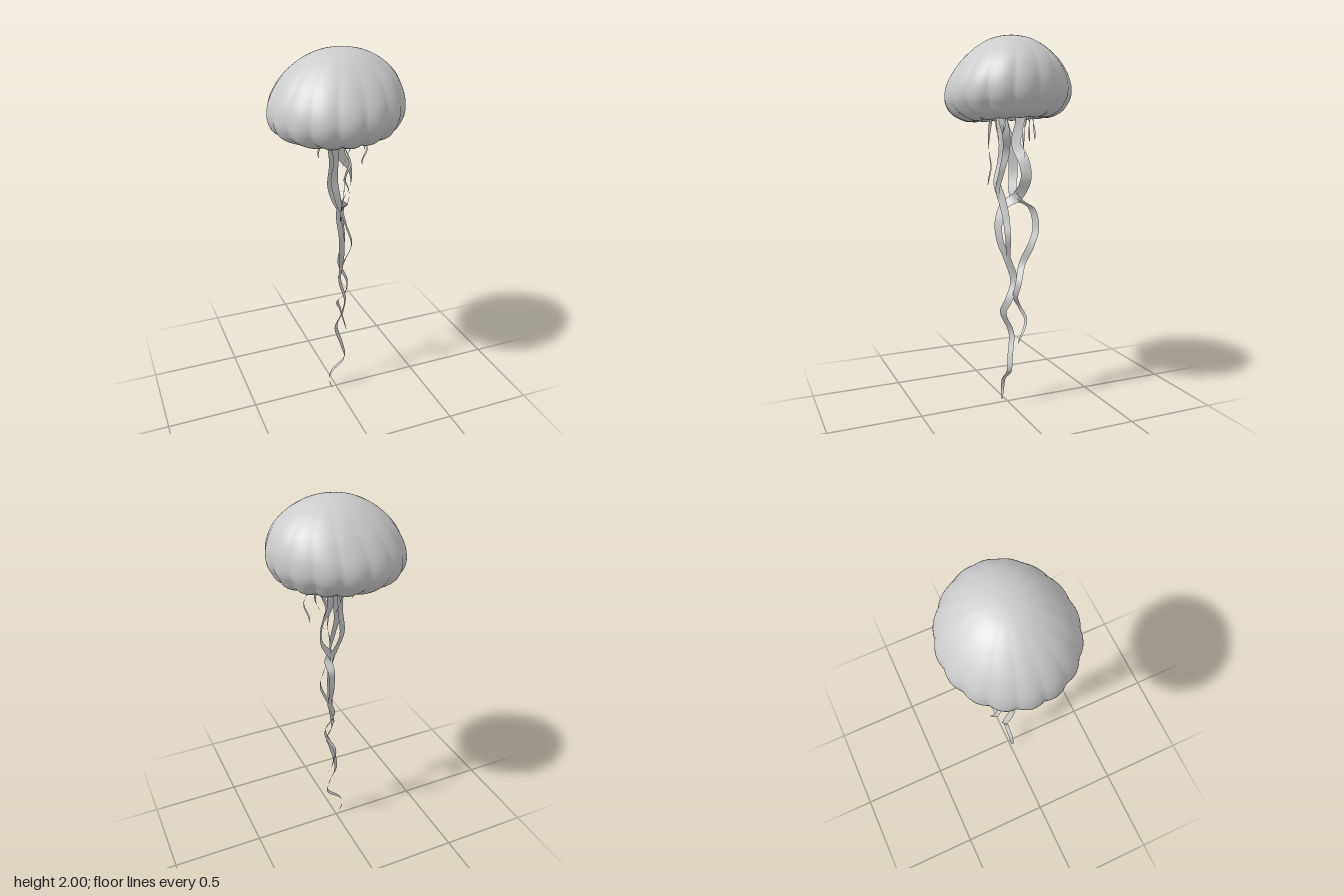
import * as THREE from 'three';
import { mergeVertices } from 'three/addons/utils/BufferGeometryUtils.js';

const skin = new THREE.MeshStandardMaterial({ color: 0xcccccc, side: THREE.DoubleSide, roughness: 0.8 });
const LOBES = 16;
const SEAM = 0.07; // angle of one groove

// Scalloped bell: lathe with grooves, a crown drawn out along x, and the rim rolled in
function makeBell() {
  const profile = [
    [0, 2.0], [0.06, 1.995], [0.13, 1.976], [0.205, 1.934], [0.275, 1.868], [0.32, 1.79],
    [0.337, 1.72], [0.33, 1.66], [0.297, 1.609], [0.24, 1.575], [0.195, 1.57], [0.174, 1.59], [0.17, 1.625],
  ].map(([r, y]) => new THREE.Vector2(r, y));
  const points = new THREE.SplineCurve(profile).getPoints(56);
  points[0].x = 0;
  const lathe = new THREE.LatheGeometry(points.reverse(), LOBES * 12, SEAM, Math.PI * 2);
  lathe.deleteAttribute('uv');
  lathe.deleteAttribute('normal');
  const geo = mergeVertices(lathe, 1e-5);
  const pos = geo.attributes.position;
  for (let i = 0; i < pos.count; i++) {
    let x = pos.getX(i), y = pos.getY(i), z = pos.getZ(i);
    const down = THREE.MathUtils.clamp((2 - y) / 0.43, 0, 1);
    const up = 1 - THREE.MathUtils.smoothstep(down, 0, 0.75);
    const rim = THREE.MathUtils.smoothstep(down, 0.85, 1);
    const groove = 1 - Math.abs(Math.sin((Math.atan2(x, z) - SEAM) * LOBES / 2));
    const k = 1.005 - (0.01 + 0.045 * down * down) * groove;
    x = x * k * (1.025 + 0.02 * up) + 0.025 * up + 0.025 * rim;
    z = z * k * (0.98 - 0.1 * up) - 0.005 * up;
    y += down * (0.06 * x - 0.035 * z) + 0.006 * groove * down * (y < 1.66 ? 1 : 0.3);
    pos.setXYZ(i, x, y, z);
  }
  geo.computeVertexNormals();
  const mesh = new THREE.Mesh(geo, skin);
  mesh.name = 'bell';
  return mesh;
}

// Ribbon swept along [x, y, z, angle]; the angle in degrees turns its width from x towards -z
function makeRibbon(name, path, width, steps = 140) {
  const curve = new THREE.CatmullRomCurve3(path.map(([x, y, z]) => new THREE.Vector3(x, y, z)));
  const turn = new THREE.SplineCurve(path.map((p, i) => new THREE.Vector2(i, THREE.MathUtils.degToRad(p[3]))));
  const positions = [], index = [];
  const side = new THREE.Vector3();
  for (let i = 0; i <= steps; i++) {
    const t = i / steps;
    const p = curve.getPoint(t), tangent = curve.getTangent(t), a = turn.getPoint(t).y;
    side.set(Math.cos(a), 0, -Math.sin(a));
    side.addScaledVector(tangent, -side.dot(tangent)).normalize();
    const half = width / 2 * Math.pow(1 - t, 0.5) + 0.0008;
    for (const s of [-1, 0, 1]) {
      positions.push(p.x + side.x * half * s, p.y + side.y * half * s, p.z + side.z * half * s);
    }
    if (i < steps) {
      for (const q of [i * 3, i * 3 + 1]) index.push(q, q + 3, q + 1, q + 1, q + 3, q + 4);
    }
  }
  const geo = new THREE.BufferGeometry();
  geo.setAttribute('position', new THREE.Float32BufferAttribute(positions, 3));
  geo.setIndex(index);
  geo.computeVertexNormals();
  const mesh = new THREE.Mesh(geo, skin);
  mesh.name = name;
  return mesh;
}

// Thin wavy tentacle hanging from the rim
function makeTentacle(x, z, top, bottom, phase) {
  const path = [];
  for (let i = 0; i <= 10; i++) {
    const t = i / 10;
    const w = phase + t * (top - bottom) * 38;
    path.push([x + 0.011 * Math.sin(w), top + (bottom - top) * t, z + 0.009 * Math.cos(w * 0.8), phase * 57 + t * 280]);
  }
  return makeRibbon('tentacle', path, 0.016, 48);
}

export function createModel() {
  const group = new THREE.Group();
  group.name = 'jellyfish';
  group.add(makeBell());

  // Long frilled arms
  const arms = new THREE.Group();
  arms.name = 'arms';
  arms.add(
    makeRibbon('longArm', [
      [0.03, 1.72, -0.02, 60], [0.065, 1.58, -0.05, 50], [0.045, 1.45, -0.03, 30], [0.1, 1.36, -0.05, 50],
      [0.11, 1.27, -0.06, 60], [0.05, 1.17, -0.04, 50], [0.01, 1.12, 0.02, 40], [0.01, 1.03, 0.055, 35],
      [0.015, 0.93, 0.05, 30], [0.03, 0.82, 0.01, 40], [0.035, 0.7, -0.025, 50], [0.05, 0.6, 0.015, 55],
      [0.025, 0.53, 0.035, 45], [0.01, 0.4, -0.02, 40], [0.04, 0.28, 0, 45], [0.05, 0.2, 0.01, 60],
      [-0.03, 0.12, 0.01, 80], [-0.045, 0.06, 0.01, 70], [-0.03, 0, 0.02, 60],
    ], 0.062, 220),
    makeRibbon('loopedArm', [
      [0, 1.72, 0, 20], [-0.03, 1.58, 0.01, 25], [-0.01, 1.42, -0.03, 40], [-0.015, 1.28, -0.04, 35],
      [0.02, 1.18, -0.025, 25], [0.065, 1.145, -0.05, 20], [0.075, 1.1, -0.11, 25], [0.085, 1.0, -0.13, 30],
      [0.085, 0.91, -0.105, 35], [0.045, 0.8, -0.07, 50], [0.08, 0.69, -0.03, 55], [0.065, 0.62, -0.02, 50],
      [0.035, 0.55, -0.06, 35], [0.06, 0.48, -0.085, 40], [0.08, 0.36, -0.03, 45],
    ], 0.06, 180),
    makeRibbon('frontArm', [
      [0.02, 1.72, 0.02, 10], [-0.02, 1.58, 0.035, 15], [-0.005, 1.44, 0.02, 40], [-0.02, 1.34, 0.03, 25],
      [-0.01, 1.24, 0.055, 30], [0.02, 1.15, 0.04, 50], [0.05, 1.06, 0.03, 60], [0.08, 0.95, 0.03, 55],
      [0.04, 0.83, 0.01, 40], [0.02, 0.72, -0.02, 40],
    ], 0.062),
    makeRibbon('shortArm', [
      [0.03, 1.72, 0.02, 80], [0.06, 1.58, 0.05, 65], [0.065, 1.5, 0.035, 55], [0.03, 1.4, 0.02, 65],
      [0.03, 1.3, 0.045, 75], [0.01, 1.2, 0.06, 55], [0.01, 1.1, 0.04, 30],
    ], 0.05),
  );
  group.add(arms);

  // Fine tentacles: x, z, top, bottom
  const tentacles = new THREE.Group();
  tentacles.name = 'tentacles';
  [
    [0.02, 0.11, 1.66, 1.23], [0.17, -0.02, 1.64, 1.38], [0.13, -0.07, 1.64, 1.46], [-0.09, 0.02, 1.64, 1.46],
    [0.05, -0.13, 1.64, 1.46], [-0.05, -0.1, 1.64, 1.5], [0.12, 0.07, 1.64, 1.5],
  ].forEach(([x, z, top, bottom], i) => tentacles.add(makeTentacle(x, z, top, bottom, i * 1.7)));
  group.add(tentacles);
  return group;
}
